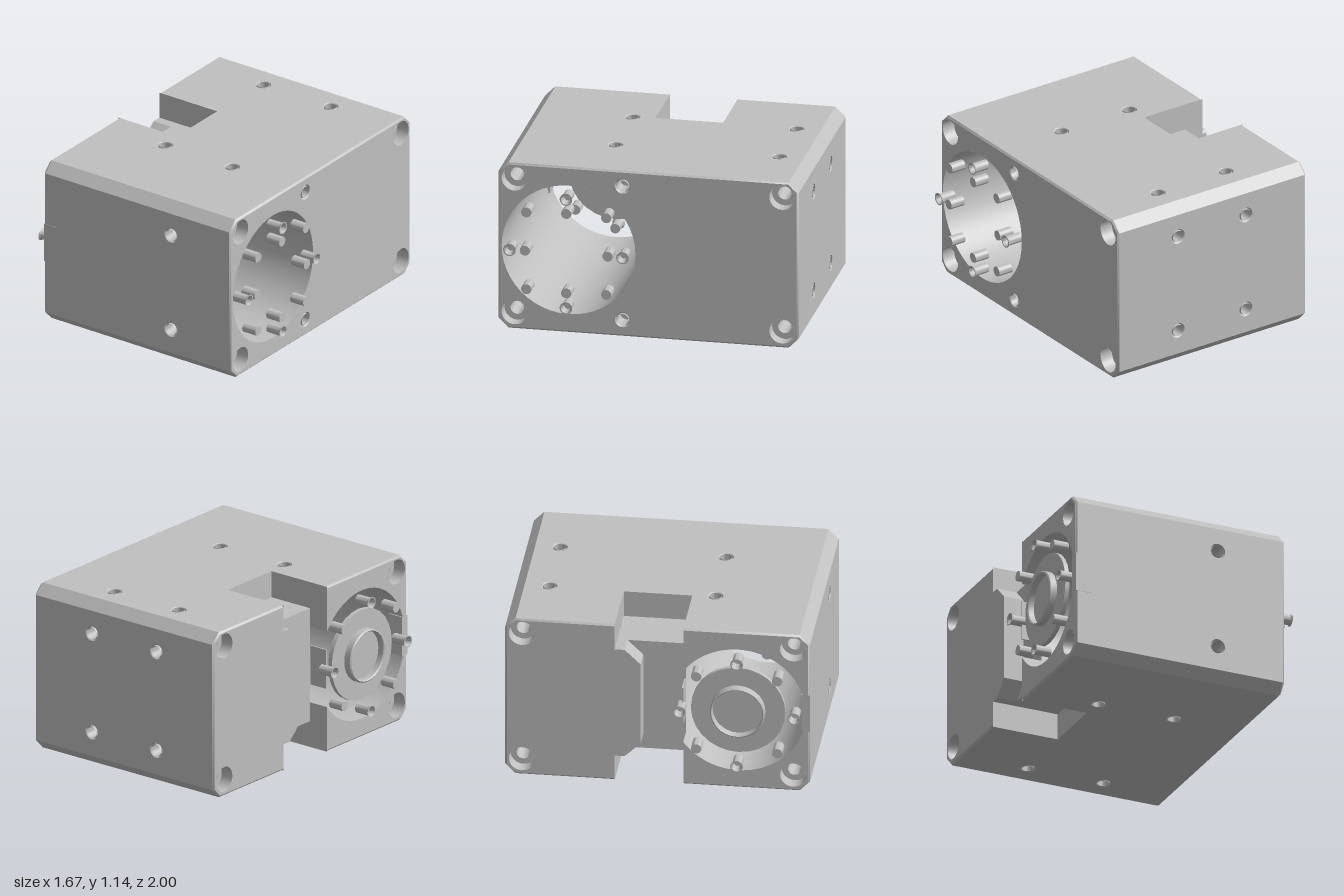
import * as THREE from 'three';
import { toCreasedNormals } from 'three/addons/utils/BufferGeometryUtils.js';

const W = 0.75, H = 1.145, CY = 0.572, C = 0.068, B = 0.012; // half width, height, mid height, chamfer, bevel
const BZ = 0.53, BR = 0.445; // bore centre and radius
const N0 = -0.28, N1 = 0.17, NX = -0.285, PX = -0.61; // notch limits and pad face
const LOW = 0.18, HIGH = 0.964;

export function createModel() {
  const root = new THREE.Group();
  const metal = new THREE.MeshStandardMaterial({ color: 0xc0c0c0, side: THREE.DoubleSide });
  metal.name = 'grey metal';

  const add = (name, geometry) => {
    const m = new THREE.Mesh(geometry, metal);
    m.name = name;
    root.add(m);
    return m;
  };
  const axes = {
    x: new THREE.Vector3(1, 0, 0), y: new THREE.Vector3(0, 1, 0), z: new THREE.Vector3(0, 0, 1),
  };
  // Flat panel across one axis; points are (z,y), (x,z) or (x,y)
  const panel = (name, axis, at, points, holes = []) => {
    const shape = new THREE.Shape(points.map(([u, v]) => new THREE.Vector2(u, v)));
    for (const [u, v, r] of holes) shape.holes.push(new THREE.Path().absarc(u, v, r, 0, Math.PI * 2, true));
    const g = new THREE.ShapeGeometry(shape, 24);
    const [U, V] = { x: [axes.z, axes.y], y: [axes.x, axes.z], z: [axes.x, axes.y] }[axis];
    const n = U.clone().cross(V);
    const basis = new THREE.Matrix4().makeBasis(U, V, n);
    basis.setPosition(axes[axis].clone().multiplyScalar(at));
    return add(name, g.applyMatrix4(basis));
  };
  const rect = (u0, v0, u1, v1) => [[u0, v0], [u1, v0], [u1, v1], [u0, v1]];
  // Strip between two (z,y) polylines at two x positions
  const loft = (name, a, xa, b, xb) => {
    const pos = [], index = [];
    a.forEach(([z, y], i) => {
      pos.push(xa, y, z, xb, b[i][1], b[i][0]);
      if (i) index.push(2 * i - 2, 2 * i, 2 * i - 1, 2 * i - 1, 2 * i, 2 * i + 1);
    });
    const g = new THREE.BufferGeometry();
    g.setAttribute('position', new THREE.Float32BufferAttribute(pos, 3));
    g.setIndex(index);
    g.computeVertexNormals();
    return add(name, toCreasedNormals(g, Math.PI / 5));
  };
  // Turned part whose profile (radius, height) points along a direction
  const turned = (name, profile, position, dir) => {
    const g = new THREE.LatheGeometry(profile.map(([r, h]) => new THREE.Vector2(r, h)), 28);
    const m = add(name, toCreasedNormals(g, Math.PI / 5));
    m.position.set(...position);
    m.quaternion.setFromUnitVectors(axes.y, new THREE.Vector3(...dir));
    return m;
  };
  const box = (name, x0, y0, z0, x1, y1, z1) => {
    add(name, new THREE.BoxGeometry(x1 - x0, y1 - y0, z1 - z0))
      .position.set((x0 + x1) / 2, (y0 + y1) / 2, (z0 + z1) / 2);
  };

  // Housing cross-section, split at the notch, with an optional inset
  const backHalf = (i) => [[N0, H - i], [-1 + C, H - i], [-1 + i, H - C], [-1 + i, C], [-1 + C, i], [N0, i]];
  const frontHalf = (i) => [[N1, i], [1 - C, i], [1 - i, C], [1 - i, H - C], [1 - C, H - i], [N1, H - i]];
  const full = (i) => [...backHalf(i), ...frontHalf(i)];
  const S = W - B;

  // Hole positions
  const small = [[0.04, 0], [0.04, -0.12], [0, -0.12]];
  const hole = [[0.052, 0], ...[[0.043, -0.012]], ...small];
  const counterbore = [[0.085, 0], [0.085, -0.09], [0.045, -0.09], [0.045, -0.3], [0, -0.3]];
  const ys = [0.115, H - 0.105], faceYs = [0.235, 0.92];
  const topHoles = [];
  for (const x of [-0.27, 0.27]) for (const z of [-0.77, 0.32]) topHoles.push([x, z, 0.052]);
  const corners = (z) => ys.map((y) => [z, y, 0.085]);
  const backHoles = [];
  for (const x of [-0.27, 0.27]) for (const y of faceYs) backHoles.push([x, y, 0.052]);
  const frontHoles = faceYs.map((y) => [0.27, y, 0.052]);
  const endHoles = ys.map((y) => [N1, y, 0.052]);

  // Housing walls
  const plan = [[-S, -1 + C], [S, -1 + C], [S, 1 - C], [-S, 1 - C], [-S, N1], [NX, N1], [NX, N0], [-S, N0]];
  panel('topWall', 'y', H, plan, topHoles);
  panel('bottomWall', 'y', 0, plan, topHoles);
  panel('frontWall', 'z', 1, rect(-S, C, S, H - C), frontHoles);
  panel('backWall', 'z', -1, rect(-S, C, S, H - C), backHoles);
  panel('boreEnd', 'x', W, full(B), [[BZ, CY, BR], ...corners(0.89), ...corners(-0.89), ...endHoles]);
  panel('flangeEndBack', 'x', -W, backHalf(B), corners(-0.89));

  // Flange end, with the bore breaking through into the notch
  const limit = Math.acos((N1 - BZ) / BR);
  const arc = (a, n = 64) => Array.from({ length: n + 1 }, (_, i) => {
    const t = a - (2 * a * i) / n;
    return [BZ + BR * Math.cos(t), CY + BR * Math.sin(t)];
  });
  panel('flangeEndFront', 'x', -W, [...frontHalf(B), ...arc(limit)], corners(0.89));

  // Long chamfers and end bevels
  const sec = full(0);
  for (const i of [1, 3, 7, 9]) {
    const edge = [sec[i], sec[i + 1]];
    loft('longChamfer', edge, -S, edge, S);
  }
  const closed = (i) => [...full(i), full(i)[0]];
  loft('boreEndBevel', closed(0), S, closed(B), W);
  loft('backBevel', backHalf(0), -S, backHalf(B), -W);
  loft('frontBevel', frontHalf(0), -S, frontHalf(B), -W);

  // Bore
  loft('bore', arc(Math.PI), PX, arc(Math.PI), W);
  loft('boreMouth', arc(limit), -W, arc(limit), PX);

  // Notch walls and raised pad
  const openY = Math.sqrt(BR * BR - (BZ - N1) ** 2);
  panel('notchFrontWall', 'z', N1, [
    [-W, 0], [NX, 0], [NX, LOW], [PX, LOW], [PX, CY - openY], [-W, CY - openY]]);
  panel('notchFrontWall', 'z', N1, [
    [-W, H], [NX, H], [NX, HIGH], [PX, HIGH], [PX, CY + openY], [-W, CY + openY]]);
  panel('notchBackWall', 'z', N0, rect(-W, 0, NX, H));
  panel('notchInnerWall', 'x', NX, rect(N0, HIGH, N1, H));
  panel('notchInnerWall', 'x', NX, rect(N0, 0, N1, LOW));
  for (const y of [LOW, HIGH]) panel('padLedge', 'y', y, rect(PX, N0, NX, N1));
  panel('padFace', 'x', PX, rect(N0, LOW, N1, HIGH));

  // Chamfered boss on the back wall of the notch
  const boss = [[N0, LOW], [-0.215, LOW], [-0.11, LOW + 0.1], [-0.11, HIGH - 0.1], [-0.215, HIGH], [N0, HIGH]];
  loft('notchBoss', [...boss, boss[0]], -W, [...boss, boss[0]], PX);
  panel('notchBossFace', 'x', -W, boss);

  // Cover tabs beside the bore
  box('frontTab', -W, 0.44, 0.945, -0.64, 0.71, 1.002);
  box('notchTab', -W, 0.44, 0.16, -0.62, 0.71, N1);

  // Hole linings
  for (const [x, z] of topHoles) {
    turned('topHole', hole, [x, H, z], [0, 1, 0]);
    turned('bottomHole', hole, [x, 0, z], [0, -1, 0]);
  }
  for (const [x, y] of backHoles) turned('backHole', hole, [x, y, -1], [0, 0, -1]);
  for (const [x, y] of frontHoles) turned('frontHole', hole, [x, y, 1], [0, 0, 1]);
  for (const [z, y] of endHoles) turned('endHole', hole, [W, y, z], [1, 0, 0]);
  for (const s of [-1, 1]) for (const z of [-0.89, 0.89]) for (const y of ys)
    turned('counterbore', counterbore, [s * W, y, z], [s, 0, 0]);

  // Flange disc with raised rim
  turned('flange', [[0, -0.03], [0.31, -0.03], [0.31, 0], [0.18, 0], [0.18, 0.045], [0.172, 0.052],
    [0.165, 0.045], [0.165, 0.005], [0, 0.005]], [-W, CY, BZ], [-1, 0, 0]);

  // Rings of screws and dowels at both ends
  const screw = [[0, -0.03], [0.033, -0.03], [0.033, 0.07], [0.042, 0.083], [0.034, 0.083], [0.026, 0.065], [0.026, 0.02], [0, 0.02]];
  const dowel = [[0, -0.03], [0.034, -0.03], [0.034, 0.075], [0, 0.075]];
  for (const s of [-1, 1]) {
    for (let i = 0; i < 8; i++) {
      const a = (i * Math.PI) / 4;
      turned(i % 2 ? 'dowel' : 'screw', i % 2 ? dowel : screw,
        [s * W, CY + 0.376 * Math.sin(a), BZ + 0.376 * Math.cos(a)], [s, 0, 0]);
    }
  }
  for (let i = 0; i < 4; i++) {
    const a = (i * Math.PI) / 2;
    turned('innerDowel', dowel, [W, CY + 0.275 * Math.sin(a), BZ + 0.275 * Math.cos(a)], [1, 0, 0]);
  }
  return root;
}
